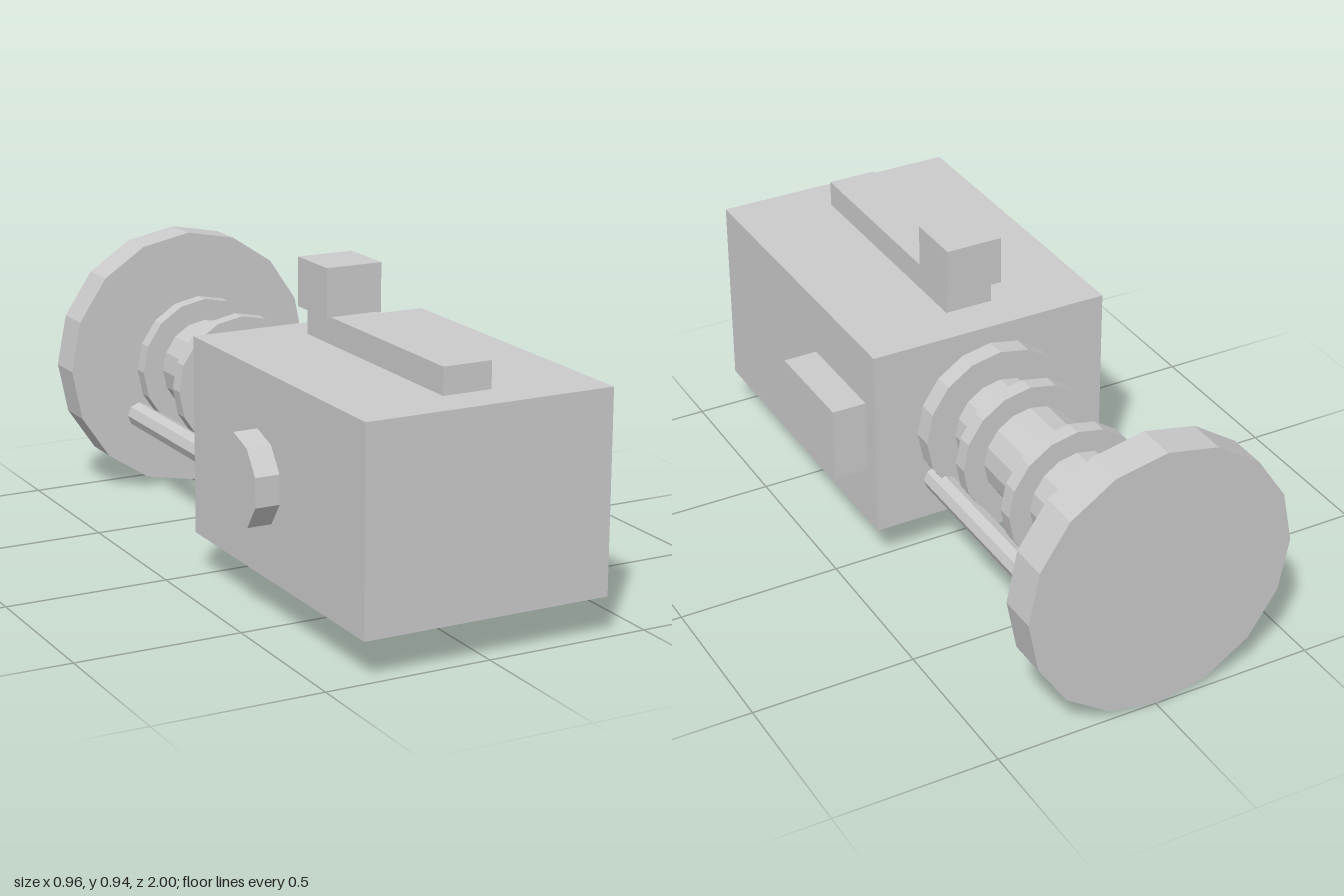
import * as THREE from 'three';

const AXIS_X = -0.005;
const AXIS_Y = 0.42;

export function createModel() {
  const model = new THREE.Group();
  model.name = 'model';
  const material = new THREE.MeshStandardMaterial({ color: 0xcccccc, flatShading: true });

  const add = (name, geometry) => {
    const mesh = new THREE.Mesh(geometry, material);
    mesh.name = name;
    model.add(mesh);
    return mesh;
  };

  // Box given by its extents on each axis
  const box = (name, [x0, x1], [y0, y1], [z0, z1]) =>
    add(name, new THREE.BoxGeometry(x1 - x0, y1 - y0, z1 - z0))
      .position.set((x0 + x1) / 2, (y0 + y1) / 2, (z0 + z1) / 2);

  // Cylinder along z, with a vertex at its lowest point
  const drum = (name, radius, sides, [z0, z1], x = AXIS_X, y = AXIS_Y) =>
    add(name, new THREE.CylinderGeometry(radius, radius, z1 - z0, sides).rotateX(Math.PI / 2))
      .position.set(x, y, (z0 + z1) / 2);

  // Housing with its top rail, rail block and side box
  box('housing', [-0.385, 0.375], [0.122, 0.718], [-0.036, 1]);
  box('topRail', [-0.08, 0.07], [0.718, 0.798], [0.095, 0.87]);
  box('railBlock', [-0.093, 0.083], [0.795, 0.942], [0.06, 0.238]);
  box('sideBox', [0.375, 0.48], [0.305, 0.535], [0.025, 0.357]);

  // Ten-sided knob on the right side
  add('sideKnob', new THREE.CylinderGeometry(0.14, 0.14, 0.074, 10)
    .rotateY(Math.PI / 2).rotateZ(Math.PI / 2)).position.set(-0.445, AXIS_Y, 0.425);

  // Half-sunk cylinder under the housing
  drum('underCylinder', 0.119, 12, [-0.036, 0.357], AXIS_X, 0.122);

  // Rear shaft with mounting flange, collars and end disc
  drum('mountingFlange', 0.243, 16, [-0.097, -0.036]);
  drum('shaft', 0.15, 16, [-0.88, -0.03]);
  for (const z of [-0.25, -0.517, -0.786]) drum('collar', 0.218, 16, [z - 0.024, z + 0.024]);
  drum('endDisc', 0.415, 16, [-1, -0.88], AXIS_X, 0.418);

  // Pair of guide rods beneath the shaft
  for (const side of [-1, 1]) {
    drum('guideRod', 0.04, 8, [-0.88, -0.036], AXIS_X + side * 0.185, 0.25);
  }

  return model;
}
